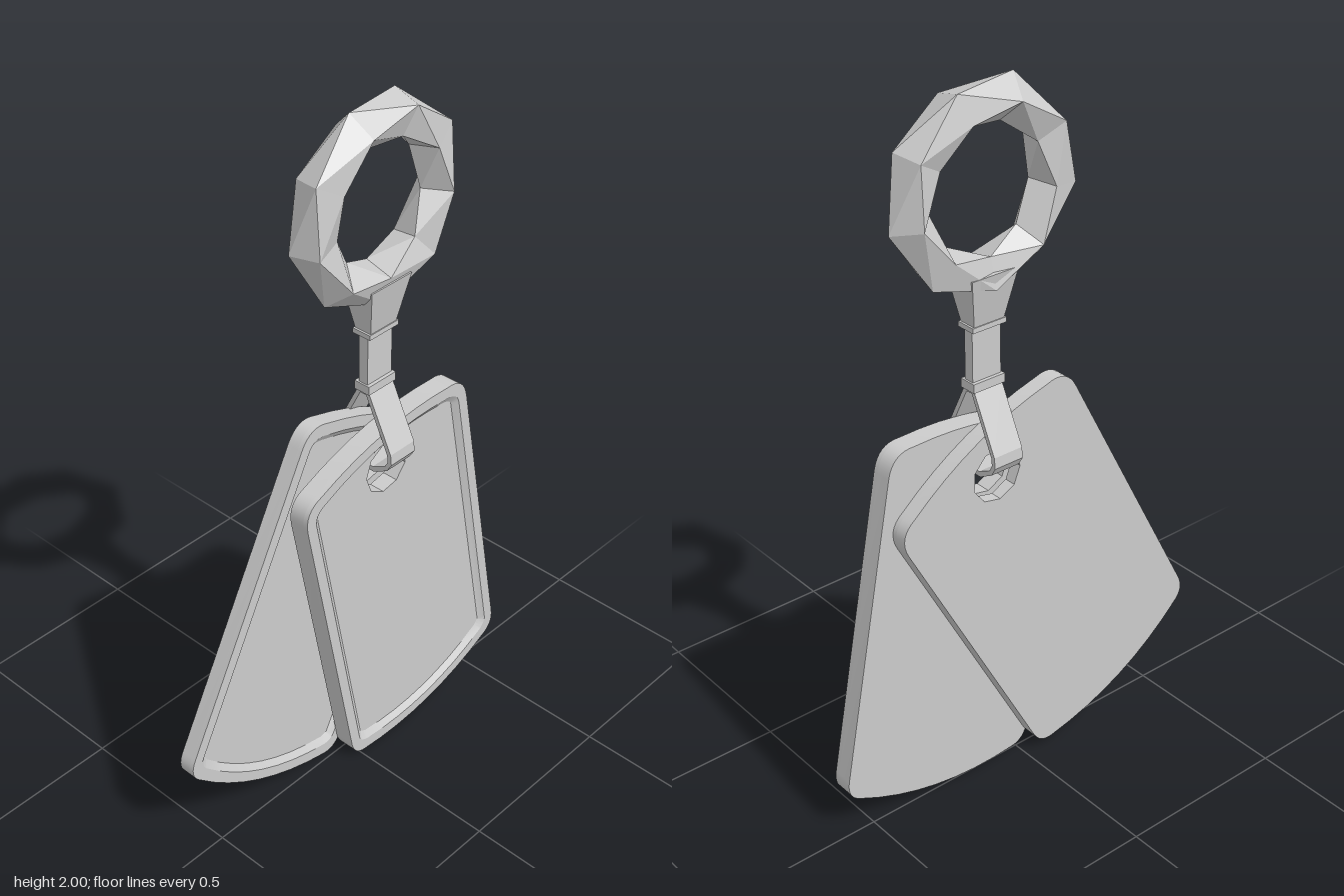
import * as THREE from 'three';
import { toCreasedNormals } from 'three/addons/utils/BufferGeometryUtils.js';

const CX = 0.105; // x of the ring, strap and tag holes
const smooth = new THREE.MeshStandardMaterial({ color: 0xcccccc });
const faceted = new THREE.MeshStandardMaterial({ color: 0xcccccc, flatShading: true });
const thin = new THREE.MeshStandardMaterial({ color: 0xcccccc, side: THREE.DoubleSide });

function mesh(name, geometry, material) {
  const m = new THREE.Mesh(geometry, material);
  m.name = name;
  return m;
}

// Tag outline, pulled inward by i; the origin is the centre of the hole
function tagOutline(i, Kind = THREE.Shape) {
  const w = 0.312 - i, t = 0.245 - i / 2, b = 0.27 - i / 2;
  const s = new Kind();
  s.moveTo(w, 0.02);
  s.quadraticCurveTo(w, 0.092 - i, t, 0.1 - i);
  s.quadraticCurveTo(0, 0.16 - i, -t, 0.1 - i);
  s.quadraticCurveTo(-w, 0.092 - i, -w, 0.02);
  s.lineTo(-w, -0.86);
  s.quadraticCurveTo(-w, -0.912 + i, -b, -0.925 + i);
  s.quadraticCurveTo(0, -1.01 + i, b, -0.925 + i);
  s.quadraticCurveTo(w, -0.912 + i, w, -0.86);
  s.closePath();
  return s;
}

function extrude(shape, depth, z = 0) {
  const g = new THREE.ExtrudeGeometry(shape, { depth, bevelEnabled: false, curveSegments: 8 });
  return toCreasedNormals(g.translate(0, 0, z), 0.5);
}

// Sloped band from the rim's top edge down to the recessed face
function rimSlope(topInset, topZ, lowInset, lowZ) {
  const a = tagOutline(topInset).getPoints(8), b = tagOutline(lowInset).getPoints(8);
  const pos = [], index = [];
  a.forEach((p, j) => {
    pos.push(p.x, p.y, topZ, b[j].x, b[j].y, lowZ);
    if (j < a.length - 1) {
      const k = 2 * j;
      index.push(k, k + 2, k + 1, k + 1, k + 2, k + 3);
    }
  });
  const g = new THREE.BufferGeometry();
  g.setAttribute('position', new THREE.Float32BufferAttribute(pos, 3));
  g.setIndex(index);
  return toCreasedNormals(g, 0.5);
}

function tag(name, thickness, z, angle) {
  const recess = 0.014, floor = thickness - recess;
  const plate = tagOutline(0);
  const hole = new THREE.Path();
  for (let k = 0; k < 9; k++) {
    const a = -Math.PI / 2 + 0.35 + (k / 9) * Math.PI * 2;
    hole[k ? 'lineTo' : 'moveTo'](0.077 * Math.cos(a), 0.077 * Math.sin(a));
  }
  hole.closePath();
  plate.holes.push(hole);
  const rim = tagOutline(0);
  rim.holes.push(tagOutline(0.032, THREE.Path));

  const g = new THREE.Group();
  g.name = name;
  g.add(mesh('plate', extrude(plate, floor), smooth));
  g.add(mesh('rim', extrude(rim, recess, floor), smooth));
  g.add(mesh('rimSlope', rimSlope(0.032, thickness, 0.05, floor + 0.0005), thin));
  g.position.set(CX, 0.97, z);
  g.rotation.z = angle;
  return g;
}

// Faceted ring: a square section that twists 30 degrees at each of nine steps
function twistedRing() {
  const N = 9, S = 4, R = 0.222, r = 0.06, pos = [], index = [];
  for (let i = 0; i <= N; i++) {
    const a = Math.PI / 2 + ((i + 0.5) / N) * Math.PI * 2;
    for (let j = 0; j < S; j++) {
      const t = (j / S) * Math.PI * 2 + (i * Math.PI) / 6;
      const d = R + r * Math.cos(t);
      pos.push(d * Math.cos(a), d * Math.sin(a), r * Math.sin(t));
      if (i < N) {
        const p = i * S + j, q = i * S + ((j + 1) % S);
        index.push(p, p + S, q, q, p + S, q + S);
      }
    }
  }
  const g = new THREE.BufferGeometry();
  g.setAttribute('position', new THREE.Float32BufferAttribute(pos, 3));
  g.setIndex(index);
  g.computeVertexNormals();
  return g;
}

// Box whose bottom and top have their own widths and depths
function taper(y0, w0, d0, y1, w1, d1) {
  const g = new THREE.BoxGeometry(1, 1, 1), p = g.attributes.position;
  for (let i = 0; i < p.count; i++) {
    const up = p.getY(i) > 0;
    p.setXYZ(i, CX + p.getX(i) * (up ? w1 : w0), up ? y1 : y0, p.getZ(i) * (up ? d1 : d0));
  }
  g.computeVertexNormals();
  return g;
}

// Triangular band through the tag holes, drawn from the side and extruded across
function loopBand() {
  const both = (half) => [...half, ...half.slice().reverse().map(([z, y]) => [-z, y])]
    .map(([z, y]) => new THREE.Vector2(z, y));
  const s = new THREE.Shape(both([[0.04, 0.975], [0.085, 1.0], [0.1, 1.025], [0.097, 1.055], [0.018, 1.215]]));
  s.holes.push(new THREE.Path(both([[0.036, 0.99], [0.077, 1.01], [0.087, 1.028], [0.085, 1.05], [0.01, 1.203]])));
  const g = new THREE.ExtrudeGeometry(s, { depth: 0.09, bevelEnabled: false });
  return g.rotateY(-Math.PI / 2).translate(CX + 0.045, 0, 0);
}

export function createModel() {
  const model = new THREE.Group();
  model.name = 'tagKeyring';

  const ring = mesh('ring', twistedRing(), faceted);
  ring.position.set(CX - 0.003, 1.738, 0);
  model.add(ring);

  // Neck, strap and clasp between ring and loop
  model.add(mesh('neck', taper(1.385, 0.092, 0.05, 1.53, 0.145, 0.105), faceted));
  model.add(mesh('upperBand', taper(1.378, 0.106, 0.058, 1.392, 0.106, 0.058), faceted));
  model.add(mesh('strap', taper(1.22, 0.09, 0.03, 1.385, 0.09, 0.03), faceted));
  model.add(mesh('lowerBand', taper(1.21, 0.1, 0.05, 1.235, 0.1, 0.05), faceted));
  model.add(mesh('loop', loopBand(), faceted));

  // The two tags fan out from the loop
  model.add(tag('frontTag', 0.06, -0.002, 0.189));
  model.add(tag('backTag', 0.048, -0.052, -0.489));
  return model;
}
